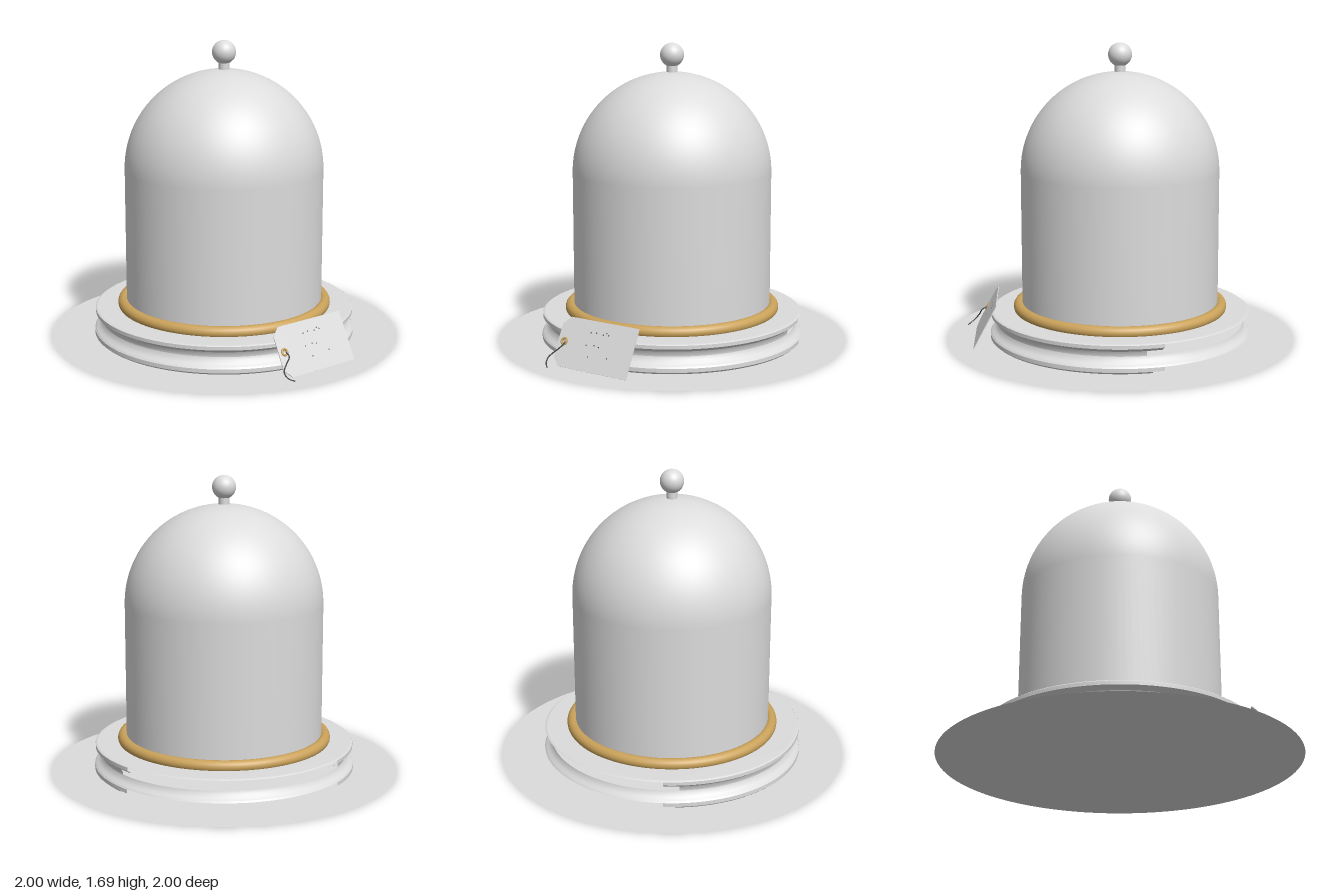
import * as THREE from 'three';

const mat = (name, color) => {
  const m = new THREE.MeshStandardMaterial({ color, side: THREE.DoubleSide });
  m.name = name;
  return m;
};

export function createModel() {
  const model = new THREE.Group();
  const paleGrey = mat('pale grey', 0xdcdcdc);
  const brass = mat('brass', 0xcaa25a);
  const darkGrey = mat('dark grey', 0x4a4a4a);

  const add = (name, geometry, material, parent = model) => {
    const mesh = new THREE.Mesh(geometry, material);
    mesh.name = name;
    parent.add(mesh);
    return mesh;
  };
  const vec2 = (pts) => pts.map(([x, y]) => new THREE.Vector2(x, y));
  const vec3 = (pts) => pts.map((p) => new THREE.Vector3(...p));

  // Ground disc
  add('groundDisc', new THREE.CircleGeometry(1, 96).rotateX(-Math.PI / 2), paleGrey);

  // Round plinth: bands sweep to both sides of the front, some left open at the back
  const plinth = new THREE.Group();
  plinth.name = 'plinth';
  model.add(plinth);
  const band = (name, pts, halfAngle = 180) => {
    const a = THREE.MathUtils.degToRad(halfAngle);
    add(name, new THREE.LatheGeometry(vec2(pts), 96, -a, 2 * a), paleGrey, plinth);
  };
  band('lowerRimFoot', [[0.735, 0.003], [0.748, 0.014]], 124);
  band('lowerRim', [[0.748, 0.014], [0.748, 0.036]], 129);
  band('lowerRimBevel', [[0.748, 0.036], [0.74, 0.045]]);
  band('lowerFlare', [[0.74, 0.045], [0.722, 0.058], [0.71, 0.073], [0.705, 0.09]]);
  band('waist', [[0.705, 0.09], [0.706, 0.103], [0.714, 0.12]], 122);
  band('upperFlare', [[0.714, 0.12], [0.725, 0.13], [0.742, 0.14]], 129);
  band('upperRim', [[0.742, 0.14], [0.742, 0.16]], 129);
  band('plinthTop', [[0.742, 0.16], [0.73, 0.168], [0, 0.168]]);

  // Brass seat ring around the foot of the dome
  add('seatRing', new THREE.TorusGeometry(0.58, 0.033, 20, 96).rotateX(Math.PI / 2), brass)
    .position.y = 0.185;

  // Dome: straight wall with a hemispherical top
  const domeRadius = 0.563, domeSpring = 0.967;
  const domeProfile = [[domeRadius, 0.168]];
  for (let i = 0; i <= 32; i++) {
    const a = (i / 32) * Math.PI / 2;
    domeProfile.push([domeRadius * Math.cos(a), domeSpring + domeRadius * Math.sin(a)]);
  }
  add('dome', new THREE.LatheGeometry(vec2(domeProfile), 96), paleGrey);

  // Knob and neck
  add('knobNeck', new THREE.CylinderGeometry(0.03, 0.03, 0.07, 32), paleGrey).position.y = 1.545;
  add('knob', new THREE.SphereGeometry(0.067, 40, 28), paleGrey).position.y = 1.625;

  // Paper tag leaning on the plinth; local x runs along it, local y up it
  const tag = new THREE.Group();
  tag.name = 'tag';
  const along = new THREE.Vector3(0.916, 0, -0.4).normalize();
  const normal = along.clone().cross(new THREE.Vector3(-0.198, 0.883, -0.425)).normalize();
  const up = normal.clone().cross(along);
  tag.applyMatrix4(new THREE.Matrix4().makeBasis(along, up, normal).setPosition(0.565, 0.002, 0.663));
  model.add(tag);

  const outline = new THREE.Shape(vec2([
    [0, 0], [0, 0.277], [-0.441, 0.277], [-0.486, 0.232], [-0.486, 0.045], [-0.441, 0],
  ]));
  const eye = [-0.446, 0.139];
  outline.holes.push(new THREE.Path().absarc(...eye, 0.012, 0, Math.PI * 2, true));
  add('tagCard', new THREE.ExtrudeGeometry(outline, { depth: 0.004, bevelEnabled: false }), paleGrey, tag);
  add('tagEyelet', new THREE.TorusGeometry(0.017, 0.006, 10, 28), brass, tag)
    .position.set(...eye, 0.004);

  // Small ink flecks scattered in rows on the card
  const flecks = [
    [-0.29, 0.21], [-0.255, 0.214], [-0.21, 0.21], [-0.19, 0.222], [-0.175, 0.212],
    [-0.3, 0.14], [-0.25, 0.145], [-0.22, 0.14], [-0.27, 0.08], [-0.15, 0.09],
  ];
  for (const [x, y] of flecks) {
    add('inkFleck', new THREE.CircleGeometry(0.004, 8), darkGrey, tag).position.set(x, y, 0.005);
  }

  // Loose string through the eyelet
  const stringPath = new THREE.CatmullRomCurve3(vec3([
    [0.14, 0.125, 0.785], [0.15, 0.11, 0.81], [0.115, 0.065, 0.85],
    [0.105, 0.045, 0.87], [0.12, 0.02, 0.892], [0.155, 0.006, 0.905],
  ]));
  add('tagString', new THREE.TubeGeometry(stringPath, 40, 0.0035, 6), darkGrey);

  return model;
}
